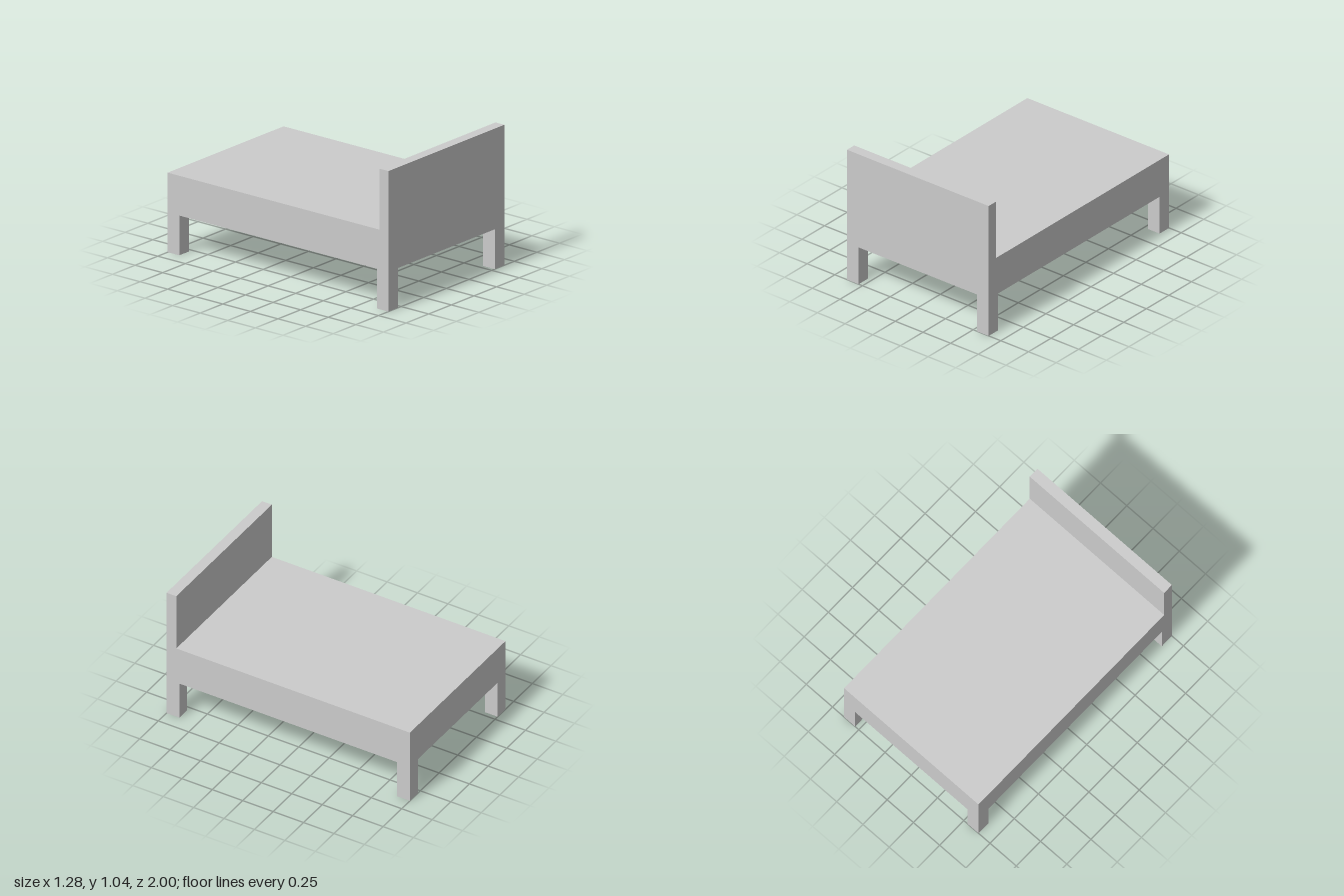
import * as THREE from 'three';

const WIDTH = 1.28, LENGTH = 2;
const LEG_HEIGHT = 0.295, LEG_SIZE = 0.105;
const BASE_TOP = 0.59;
const HEADBOARD_TOP = 1.042, HEADBOARD_DEPTH = 0.08;

export function createModel() {
  const bed = new THREE.Group();
  bed.name = 'bed';
  const material = new THREE.MeshStandardMaterial({ color: 0xcccccc, flatShading: true });

  // Adds a box standing on height y
  function addBox(name, w, h, d, x, y, z) {
    const mesh = new THREE.Mesh(new THREE.BoxGeometry(w, h, d), material);
    mesh.name = name;
    mesh.position.set(x, y + h / 2, z);
    bed.add(mesh);
  }

  // Solid bed base
  addBox('base', WIDTH, BASE_TOP - LEG_HEIGHT, LENGTH, 0, LEG_HEIGHT, 0);

  // Headboard rising flush with the front end
  addBox('headboard', WIDTH, HEADBOARD_TOP - BASE_TOP, HEADBOARD_DEPTH,
    0, BASE_TOP, (LENGTH - HEADBOARD_DEPTH) / 2);

  // Four square legs, flush with the corners
  for (const [side, sx] of [['Left', 1], ['Right', -1]]) {
    for (const [end, sz] of [['front', 1], ['back', -1]]) {
      addBox(`${end}${side}Leg`, LEG_SIZE, LEG_HEIGHT, LEG_SIZE,
        sx * (WIDTH - LEG_SIZE) / 2, 0, sz * (LENGTH - LEG_SIZE) / 2);
    }
  }
  return bed;
}
